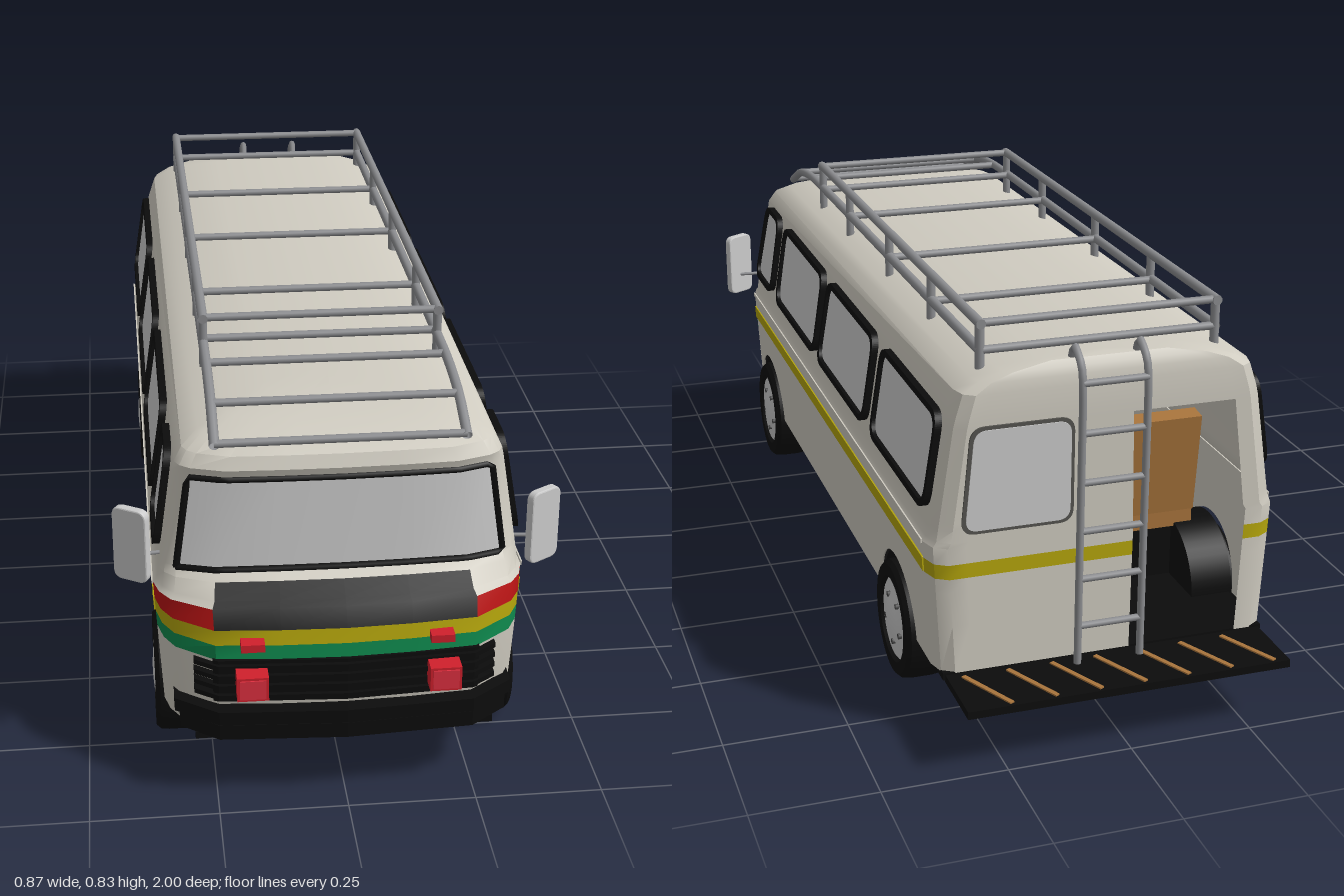
import * as THREE from 'three';
import { toCreasedNormals } from 'three/addons/utils/BufferGeometryUtils.js';

const PAINT = 0xcfcbc0, BLACK = 0x0c0c0c, RED = 0xb81414, YELLOW = 0xb5a60c, GREEN = 0x0f8a4e;
const GLASS = 0xcccccc, GREY = 0xcccccc, STEEL = 0x8c8d90, TAN = 0xa8743c, LAMP = 0xd0202c;
const V = (x, y, z) => new THREE.Vector3(x, y, z);

// half widths of the body below and above the belt line
const wLow = y => 0.345 + (y - 0.14) * 0.0566;
const wUp = y => 0.353 - (y - 0.415) * 0.1556;

// body levels: height, half width, front z, back z
const LEVELS = [
  [0.14, wLow(0.14), 0.935, -0.855], [0.24, wLow(0.24), 0.955, -0.855], [0.31, wLow(0.31), 0.958, -0.855],
  [0.34, wLow(0.34), 0.955, -0.855], [0.37, wLow(0.37), 0.95, -0.855], [0.405, wLow(0.405), 0.93, -0.855],
  [0.415, 0.353, 0.915, -0.855], [0.44, wUp(0.44), 0.885, -0.855], [0.455, wUp(0.455), 0.862, -0.855],
  [0.64, wUp(0.64), 0.85, -0.855], [0.66, 0.313, 0.856, -0.855], [0.685, 0.298, 0.845, -0.853],
  [0.705, 0.265, 0.81, -0.85], [0.72, 0.215, 0.76, -0.845], [0.732, 0.13, 0.68, -0.835], [0.735, 0, 0.6, -0.82],
];
const FRONT = [[0, 0], [0.35, 0.03], [0.7, 0.1], [0.91, 0.45], [0.97, 0.7], [1, 1]];
const BACK = [[1, 0.05], [0.97, 0.015], [0.9, 0], [0.8, 0], [0.14, 0], [0, 0]];

// point of the body skin: level r, column i from front centre to back centre, side s
function skin(r, i, s) {
  const [y, w, f, b] = LEVELS[r];
  const corner = f - Math.min(0.8, f - 0.06);
  const x = w * (i < 6 ? FRONT[i][0] : BACK[i - 6][0]);
  const z = i < 6 ? f - corner * FRONT[i][1] : b + BACK[i - 6][1];
  return V(s * x, y + (y > 0.68 ? 0.02 * (0.8 - z) / 1.6 : 0), z);
}

// which panel a patch of the skin belongs to (null = open)
function panelAt(r, i, s) {
  const y = LEVELS[r][0];
  if (i === 5 && y < 0.4) return null;
  if (i === 9 && s < 0 && y < 0.63) return null;
  if (i < 2 && y > 0.36 && y < 0.43) return 'nosePanel';
  if (i < 3 && y === 0.455) return 'windscreen';
  if (y === 0.34) return 'yellowBand';
  if (i < 5 && y === 0.31) return 'greenBand';
  if (i < 5 && y === 0.37) return 'redBand';
  return 'bodyShell';
}

export function createModel() {
  const root = new THREE.Group();
  const mats = {};
  const mat = c => mats[c] ??= new THREE.MeshStandardMaterial({ color: c, side: THREE.DoubleSide });
  const add = (name, geo, color, parent = root) => {
    const m = new THREE.Mesh(geo, mat(color));
    m.name = name;
    parent.add(m);
    return m;
  };
  const box = (name, w, h, d, x, y, z, color, parent) => {
    const m = add(name, new THREE.BoxGeometry(w, h, d), color, parent);
    m.position.set(x, y, z);
    return m;
  };
  const bar = (name, a, b, r, color, parent) => {
    const m = add(name, new THREE.CylinderGeometry(r, r, a.distanceTo(b), 10), color, parent);
    m.position.copy(a).lerp(b, 0.5);
    m.quaternion.setFromUnitVectors(V(0, 1, 0), b.clone().sub(a).normalize());
    return m;
  };
  const path = (pts, bend = 0.0) => {
    const c = new THREE.CurvePath();
    if (bend) return new THREE.CatmullRomCurve3(pts, false, 'catmullrom', bend);
    for (let i = 1; i < pts.length; i++) c.add(new THREE.LineCurve3(pts[i - 1], pts[i]));
    return c;
  };

  // body shell, front bands and windscreen from stacked outlines
  const patches = {};
  for (const s of [1, -1]) for (let r = 0; r < LEVELS.length - 1; r++) for (let i = 0; i < 11; i++) {
    const panel = panelAt(r, i, s);
    if (!panel) continue;
    const q = [skin(r, i, s), skin(r, i + 1, s), skin(r + 1, i + 1, s), skin(r + 1, i, s)];
    if (s < 0) q.reverse();
    (patches[panel] ??= []).push(q[0], q[1], q[2], q[0], q[2], q[3]);
  }
  const shellColors = { bodyShell: PAINT, nosePanel: BLACK, windscreen: GLASS, yellowBand: YELLOW, greenBand: GREEN, redBand: RED };
  for (const [name, pts] of Object.entries(patches))
    add(name, toCreasedNormals(new THREE.BufferGeometry().setFromPoints(pts), 0.55), shellColors[name]);

  // windscreen seal
  const seal = [];
  for (let i = -3; i <= 3; i++) seal.push(skin(8, Math.abs(i), i < 0 ? -1 : 1));
  for (let i = 3; i >= -3; i--) seal.push(skin(9, Math.abs(i), i < 0 ? -1 : 1));
  seal.push(seal[0].clone());
  add('windscreenSeal', new THREE.TubeGeometry(path(seal), 84, 0.007, 6), BLACK);

  // everything that is the same on both sides
  const half = new THREE.Group();
  half.name = 'leftSide';

  // extrude a (-z, y) shape and lay it on the sloping side
  const onSide = (name, shape, width, out, depth, color) => {
    const g = new THREE.ExtrudeGeometry(shape, { depth, bevelEnabled: false, curveSegments: 16 });
    const p = g.attributes.position;
    for (let k = 0; k < p.count; k++)
      p.setXYZ(k, width(p.getY(k)) + out + p.getZ(k), p.getY(k), -p.getX(k));
    g.computeVertexNormals();
    return add(name, g, color, half);
  };
  // rounded polygon from corner points
  const rounded = (pts, r, Type = THREE.Shape) => {
    const s = new Type(), n = pts.length;
    pts.forEach((c, k) => {
      const P = new THREE.Vector2(...c);
      const toward = o => P.clone().add(new THREE.Vector2(...pts[(k + o + n) % n]).sub(P).setLength(r));
      const a = toward(-1), b = toward(1);
      k ? s.lineTo(a.x, a.y) : s.moveTo(a.x, a.y);
      s.quadraticCurveTo(P.x, P.y, b.x, b.y);
    });
    s.closePath();
    return s;
  };
  const quad = (z0, z1, y0, y1, lean0 = 0, lean1 = 0) =>
    [[-z0, y0], [-z1, y0], [-z1 - lean1, y1], [-z0 + lean0, y1]];

  // lower side panel with wheel arches
  const AXLES = [0.668, -0.575];
  const skirt = new THREE.Shape();
  skirt.moveTo(-0.8, 0.14);
  for (const z of AXLES) skirt.absarc(-z, 0.14, 0.13, Math.PI, 0, true);
  skirt.lineTo(0.805, 0.14);
  skirt.lineTo(0.805, 0.405);
  skirt.lineTo(-0.8, 0.405);
  onSide('lowerSidePanel', skirt, wLow, -0.003, 0.003, PAINT);
  onSide('sideStripe', rounded(quad(0.8, -0.805, 0.342, 0.372), 0.001), wLow, 0, 0.003, YELLOW);
  onSide('beltMoulding', rounded(quad(0.8, -0.805, 0.4, 0.41), 0.001), wLow, 0, 0.003, PAINT);

  // side windows with black frames
  const WINDOWS = [[-0.4, -0.805, 0, 0], [0.08, -0.345, 0.01, 0], [0.54, 0.115, 0, 0], [0.785, 0.6, 0.03, 0]];
  for (const [z0, z1, l0, l1] of WINDOWS) {
    const frame = rounded(quad(z0, z1, 0.465, 0.66, l0, l1), 0.04);
    const pane = quad(z0 - 0.012, z1 + 0.012, 0.477, 0.648, l0, l1);
    frame.holes.push(rounded(pane, 0.034, THREE.Path));
    onSide('sideWindowFrame', frame, wUp, 0, 0.014, BLACK);
    onSide('sideWindowGlass', rounded(pane, 0.034), wUp, 0.002, 0.004, GLASS);
  }

  // wheels and arch liners
  const tyreProfile = [[0.085, -0.045], [0.115, -0.045], [0.123, -0.036], [0.125, -0.02], [0.125, 0.02],
    [0.123, 0.036], [0.115, 0.045], [0.09, 0.045], [0.086, 0.036]].map(p => new THREE.Vector2(...p));
  const hubProfile = [[0.088, 0.034], [0.08, 0.04], [0.055, 0.038], [0.04, 0.046], [0.012, 0.048], [0, 0.048]].map(p => new THREE.Vector2(...p));
  for (const z of AXLES) {
    const liner = add('archLiner', new THREE.CylinderGeometry(0.13, 0.13, 0.09, 24, 1, false, 0, Math.PI), BLACK, half);
    liner.rotation.z = Math.PI / 2;
    liner.position.set(0.296, 0.14, z);
    const wheel = new THREE.Group();
    wheel.name = 'wheel';
    wheel.position.set(0.317, 0.125, z);
    wheel.rotation.z = -Math.PI / 2;
    half.add(wheel);
    add('tyre', toCreasedNormals(new THREE.LatheGeometry(tyreProfile, 32), 0.5), BLACK, wheel);
    add('hub', new THREE.LatheGeometry(hubProfile, 32), GREY, wheel);
    add('innerRim', new THREE.CylinderGeometry(0.088, 0.088, 0.01, 24), GREY, wheel).position.y = -0.036;
    for (let k = 0; k < 5; k++) {
      const a = k / 5 * Math.PI * 2;
      const bolt = add('wheelBolt', new THREE.CylinderGeometry(0.006, 0.006, 0.008, 8), 0x444444, wheel);
      bolt.position.set(Math.cos(a) * 0.052, 0.041, Math.sin(a) * 0.052);
    }
  }

  // mirror on its arm
  const mirrorShape = rounded([[-0.034, -0.074], [0.034, -0.074], [0.034, 0.074], [-0.034, 0.074]], 0.016);
  const mirror = add('doorMirror', new THREE.ExtrudeGeometry(mirrorShape, { depth: 0.012, bevelEnabled: true, bevelSize: 0.003, bevelThickness: 0.003, bevelSegments: 2 }), GREY, half);
  mirror.position.set(0.395, 0.493, 0.8);
  mirror.rotation.y = 0.55;
  bar('mirrorArm', V(0.33, 0.465, 0.79), V(0.41, 0.465, 0.8), 0.004, STEEL, half);

  // front lamps
  box('headlamp', 0.06, 0.05, 0.045, 0.183, 0.275, 0.975, LAMP, half);
  box('headlampRim', 0.05, 0.04, 0.006, 0.183, 0.275, 0.997, 0xe03040, half);
  box('indicator', 0.045, 0.016, 0.03, 0.18, 0.347, 0.955, LAMP, half);

  // roof rack rails and posts
  const RX = 0.238, POSTS = [0.48, 0.21, -0.14, -0.46, -0.78];
  const rail = [V(RX, 0.767, -0.785), V(RX, 0.767, 0.1), V(RX, 0.765, 0.58), V(RX, 0.746, 0.73), V(RX, 0.703, 0.83)];
  add('lowerRackRail', new THREE.TubeGeometry(path(rail, 0.3), 40, 0.01, 10), STEEL, half);
  bar('upperRackRail', V(RX, 0.82, 0.49), V(RX, 0.82, -0.79), 0.01, STEEL, half);
  for (const z of POSTS) bar('rackPost', V(RX, 0.7, z), V(RX, 0.82, z), 0.009, STEEL, half);

  // passenger seats
  for (const z of [-0.5, -0.1, 0.3, 0.62]) {
    box('seatBase', 0.17, 0.12, 0.17, 0.2, 0.2, z, BLACK, half);
    box('seatCushion', 0.18, 0.05, 0.2, 0.2, 0.285, z, TAN, half);
    box('seatBack', 0.18, 0.22, 0.04, 0.2, 0.41, z - 0.1, TAN, half).rotation.x = -0.12;
  }
  root.add(half);
  const other = half.clone();
  other.name = 'rightSide';
  other.scale.x = -1;
  root.add(other);

  // rack cross bars
  for (const [y, z] of [[0.82, 0.48], [0.82, -0.78], [0.767, -0.78], [0.767, -0.47], [0.767, -0.15], [0.767, 0.2],
    [0.767, 0.46], [0.765, 0.58], [0.746, 0.73], [0.706, 0.825]])
    bar('rackCrossBar', V(-RX, y, z), V(RX, y, z), 0.008, STEEL);

  // bumper, grille and slats wrapped round the nose
  const wrap = (name, y0, y1, endX, endZ, out) => {
    const front = [[-endX, endZ], [-0.245, 0.94], [0, 0.955], [0.245, 0.94], [endX, endZ]];
    const outline = [...front.map(([x, z]) => [x, z + out]), ...front.map(([x, z]) => [x, z - 0.03]).reverse()];
    const g = new THREE.ExtrudeGeometry(new THREE.Shape(outline.map(([x, z]) => new THREE.Vector2(x, -z))), { depth: y1 - y0, bevelEnabled: false });
    g.rotateX(-Math.PI / 2).translate(0, y0, 0);
    return add(name, g, BLACK);
  };
  wrap('bumperUpper', 0.178, 0.206, 0.328, 0.88, 0.025);
  wrap('bumperLower', 0.142, 0.174, 0.318, 0.885, 0.02);
  wrap('bumperCore', 0.15, 0.2, 0.31, 0.89, 0.012);
  wrap('grille', 0.222, 0.312, 0.255, 0.935, 0.01);
  for (let k = 0; k < 4; k++) wrap('grilleSlat', 0.23 + k * 0.0215, 0.24 + k * 0.0215, 0.29, 0.908, 0.018);

  // floor and rear step with diagonal treads
  box('floor', 0.67, 0.015, 1.66, 0, 0.135, -0.025, BLACK);
  box('noseFloor', 0.58, 0.015, 0.13, 0, 0.135, 0.865, BLACK);
  box('rearStep', 0.66, 0.016, 0.15, 0, 0.13, -0.925, BLACK);
  for (let k = 0; k < 7; k++)
    box('stepTread', 0.01, 0.004, 0.135, -0.27 + k * 0.09, 0.139, -0.932, TAN).rotation.y = 0.45;

  // rear window
  const rearFrame = rounded([[0.075, 0.43], [0.3, 0.43], [0.28, 0.645], [0.075, 0.645]], 0.03);
  const rearGlass = rounded([[0.082, 0.437], [0.292, 0.437], [0.273, 0.638], [0.082, 0.638]], 0.026);
  for (const [name, s, d, c] of [['rearWindowSeal', rearFrame, 0.004, 0x55544f], ['rearWindowGlass', rearGlass, 0.006, GLASS]])
    add(name, new THREE.ExtrudeGeometry(s, { depth: d, bevelEnabled: false }), c).position.z = -0.855 - d;

  // rear ladder hooked over the roof
  for (const x of [-0.058, 0.072]) {
    const pts = [V(x, 0.14, -0.888), V(x, 0.4, -0.888), V(x, 0.69, -0.888), V(x, 0.75, -0.878), V(x, 0.778, -0.84), V(x, 0.75, -0.825)];
    add('ladderRail', new THREE.TubeGeometry(path(pts, 0.3), 40, 0.008, 8), STEEL);
  }
  for (let k = 0; k < 6; k++)
    bar('ladderRung', V(-0.058, 0.22 + k * 0.1, -0.888), V(0.072, 0.22 + k * 0.1, -0.888), 0.007, STEEL);

  return root;
}
